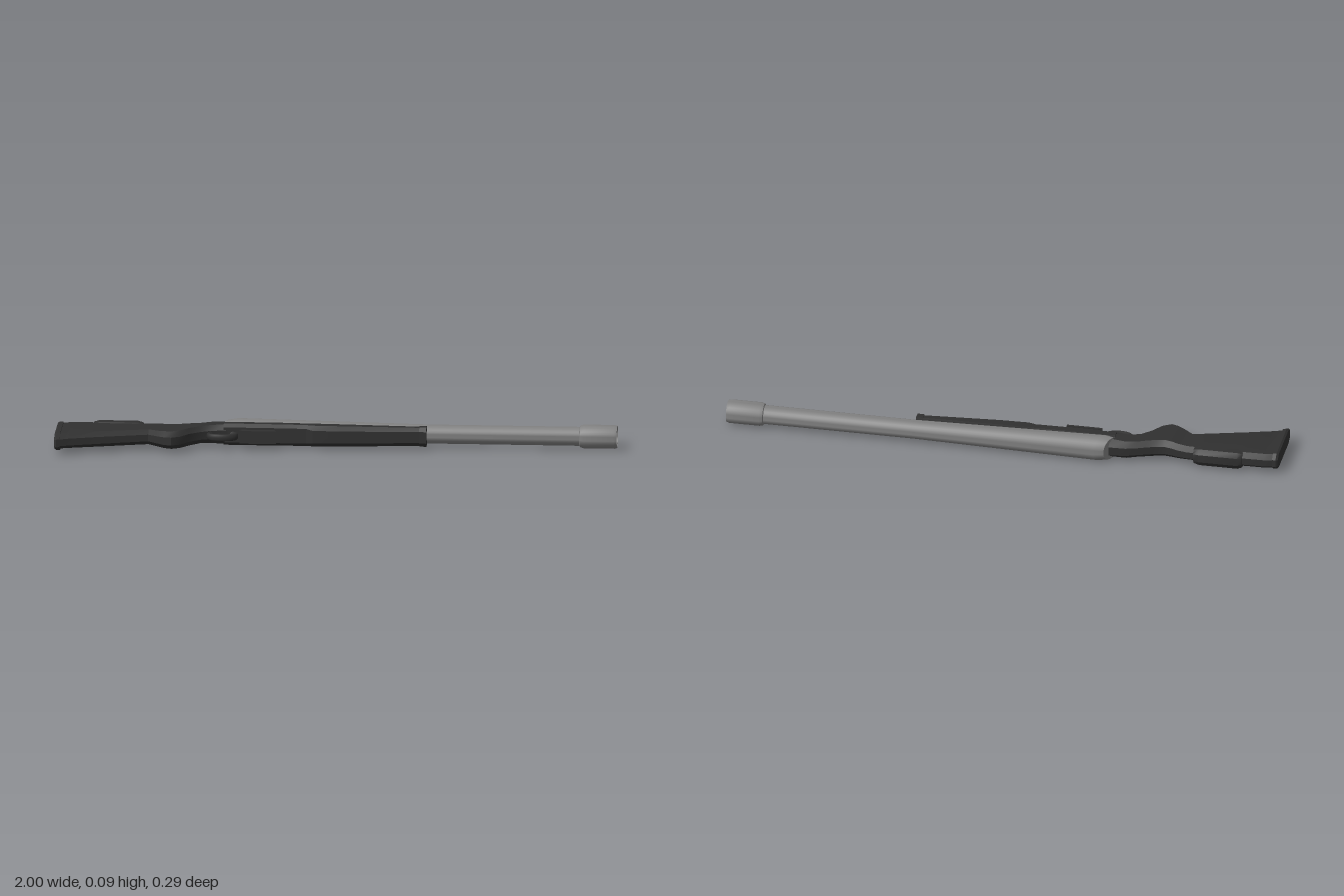
import * as THREE from 'three';
import { toCreasedNormals } from 'three/addons/utils/BufferGeometryUtils.js';

const CY = 0.0465; // height of the centre plane
const BZ = -0.1;   // barrel axis

const dark = new THREE.MeshStandardMaterial({ color: 0x303030 });
const steel = new THREE.MeshStandardMaterial({ color: 0x808080 });

// Loft of chamfered eight-sided sections along x.
// Each row: x, zTop, zBottom, halfWidth, top chamfer, bottom chamfer, edge half-width ratio
function loft(rows) {
  const pos = [], index = [], n = 8;
  for (const [x, t, b, w, ct, cb, k = 0.45] of rows) {
    const ring = [[w * k, t], [w, t + ct], [w, b - cb], [w * k, b], [-w * k, b], [-w, b - cb], [-w, t + ct], [-w * k, t]];
    for (const [y, z] of ring) pos.push(x, CY + y, z);
  }
  for (let i = 0; i < rows.length - 1; i++) {
    for (let j = 0; j < n; j++) {
      const a = i * n + j, b = i * n + (j + 1) % n;
      index.push(a, b, a + n, b, b + n, a + n);
    }
  }
  const last = (rows.length - 1) * n;
  for (let j = 1; j < n - 1; j++) {
    index.push(0, j + 1, j);
    index.push(last, last + j, last + j + 1);
  }
  const g = new THREE.BufferGeometry();
  g.setAttribute('position', new THREE.Float32BufferAttribute(pos, 3));
  g.setIndex(index);
  return toCreasedNormals(g, 0.5);
}

// Turned part along x from [radius, x] points
function turned(points) {
  const g = new THREE.LatheGeometry(points.map(([r, x]) => new THREE.Vector2(r, x)), 32);
  g.rotateZ(-Math.PI / 2);
  return g;
}

export function createModel() {
  const model = new THREE.Group();
  const add = (name, geometry, material) => {
    const m = new THREE.Mesh(geometry, material);
    m.name = name;
    model.add(m);
    return m;
  };

  // Butt, grip and wrist
  add('stock', loft([
    [-0.982, -0.092, 0.133, 0.027, 0.02, 0.03],
    [-0.95, -0.099, 0.118, 0.028, 0.02, 0.03],
    [-0.86, -0.101, 0.088, 0.028, 0.02, 0.025],
    [-0.67, -0.096, 0.033, 0.027, 0.02, 0.02],
    [-0.635, -0.09, 0.062, 0.029, 0.02, 0.022],
    [-0.61, -0.082, 0.08, 0.031, 0.02, 0.025],
    [-0.585, -0.077, 0.086, 0.032, 0.02, 0.025],
    [-0.555, -0.082, 0.068, 0.032, 0.02, 0.025],
    [-0.525, -0.092, 0.022, 0.032, 0.02, 0.02],
    [-0.49, -0.105, -0.01, 0.031, 0.02, 0.02],
    [-0.45, -0.118, -0.03, 0.033, 0.02, 0.015],
    [-0.39, -0.122, -0.036, 0.036, 0.03, 0.015],
  ]), dark);

  // Butt pad
  add('buttPad', loft([
    [-1, -0.088, 0.139, 0.027, 0.02, 0.03],
    [-0.993, -0.094, 0.144, 0.031, 0.02, 0.032],
    [-0.98, -0.094, 0.138, 0.031, 0.02, 0.032],
  ]), dark);

  // Raised comb wrapped over the top of the butt
  add('cheekPiece', loft([
    [-0.872, -0.104, -0.077, 0.027, 0.008, 0.006],
    [-0.855, -0.112, -0.066, 0.032, 0.012, 0.006],
    [-0.715, -0.112, -0.065, 0.032, 0.012, 0.006],
    [-0.695, -0.105, -0.072, 0.027, 0.008, 0.006],
  ]), dark);

  // Bedding under the barrel and the fore-end
  add('foreEnd', loft([
    [-0.405, -0.078, -0.036, 0.039, 0.004, 0.012, 0.7],
    [-0.2, -0.077, -0.034, 0.039, 0.004, 0.012, 0.7],
    [-0.11, -0.076, -0.034, 0.038, 0.004, 0.012, 0.7],
    [-0.085, -0.076, -0.02, 0.038, 0.004, 0.018, 0.6],
    [0.02, -0.075, -0.021, 0.037, 0.004, 0.018, 0.6],
    [0.3, -0.074, -0.04, 0.033, 0.004, 0.012, 0.6],
  ]), dark);
  add('foreEndCap', loft([
    [0.295, -0.079, -0.036, 0.035, 0.004, 0.012, 0.6],
    [0.32, -0.079, -0.035, 0.035, 0.004, 0.012, 0.6],
  ]), dark);

  // Magazine with floor plate
  const magazine = add('magazine', new THREE.BoxGeometry(0.12, 0.04, 0.05), dark);
  magazine.position.set(-0.28, CY, -0.03);
  const plate = add('magazinePlate', new THREE.BoxGeometry(0.13, 0.046, 0.01), dark);
  plate.position.set(-0.28, CY, -0.005);

  // Trigger guard loop and trigger
  const guard = new THREE.TorusGeometry(0.05, 0.007, 8, 28);
  guard.rotateX(Math.PI / 2);
  guard.scale(1, 1.8, 0.56);
  add('triggerGuard', guard, dark).position.set(-0.408, CY, -0.016);
  const triggerPath = new THREE.QuadraticBezierCurve3(
    new THREE.Vector3(-0.42, CY, -0.045),
    new THREE.Vector3(-0.425, CY, -0.02),
    new THREE.Vector3(-0.41, CY, -0.005));
  add('trigger', new THREE.TubeGeometry(triggerPath, 8, 0.005, 6), dark);

  // Receiver running into the barrel, with a slanted rear face
  const body = turned([[0, -0.395], [0.04, -0.395], [0.0465, -0.36], [0.034, 0.32], [0.034, 0.88]]);
  const p = body.attributes.position;
  for (let i = 0; i < p.count; i++) {
    if (p.getX(i) < -0.3) p.setX(i, p.getX(i) - p.getZ(i) * 0.5);
    if (p.getX(i) < 0) p.setZ(i, p.getZ(i) * 0.96);
  }
  add('receiverAndBarrel', toCreasedNormals(body, 0.5), steel).position.set(0, CY, BZ);

  // Muzzle sleeve with a recessed end
  const muzzle = turned([[0.033, 0.865], [0.039, 0.868], [0.0425, 0.88], [0.0425, 0.99],
    [0.04, 1], [0.035, 1], [0.034, 0.96], [0, 0.96]]);
  add('muzzle', toCreasedNormals(muzzle, 0.5), steel).position.set(0, CY, BZ);

  return model;
}
